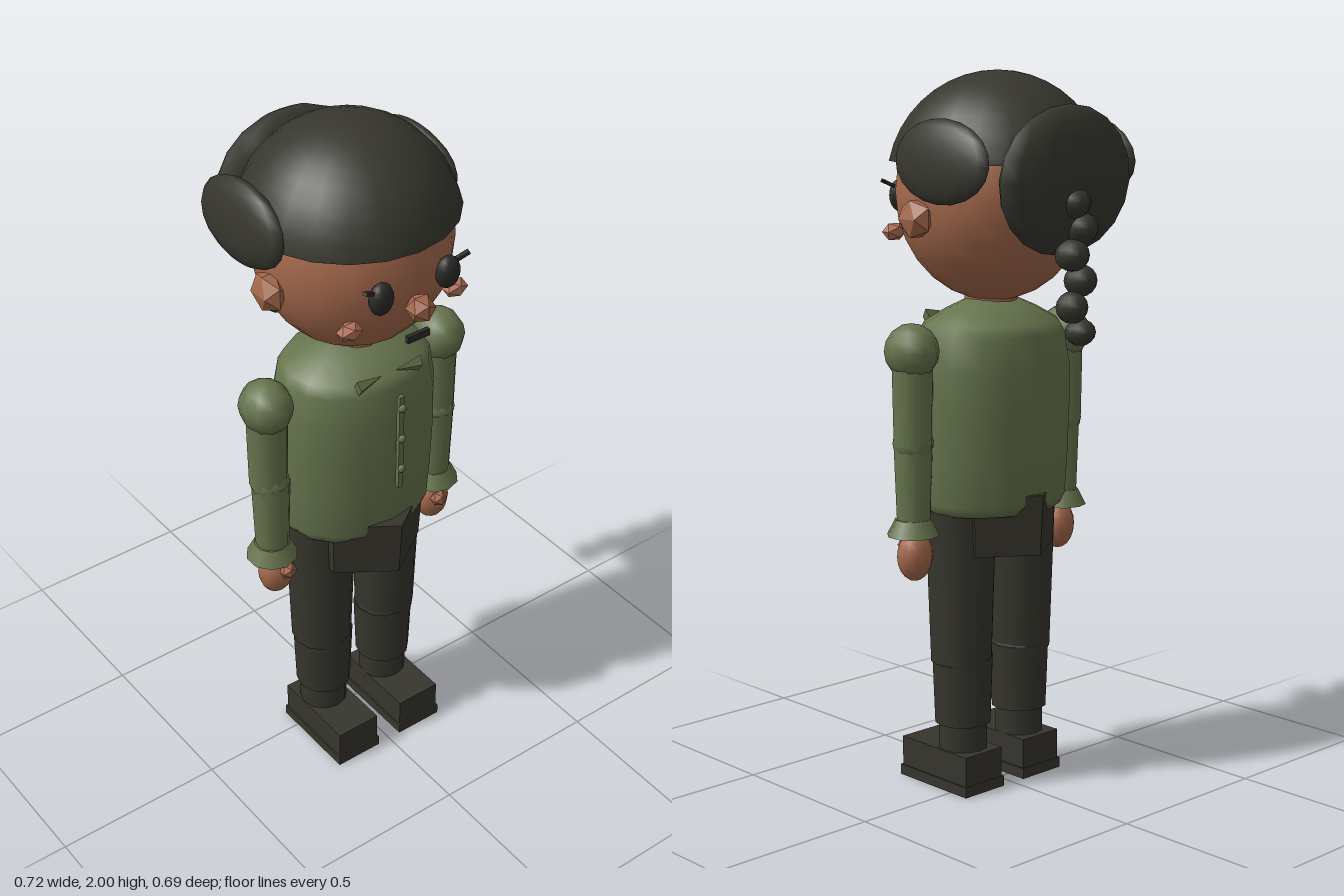
import * as THREE from 'three';

const mat = (name, color, extra = {}) => {
  const m = new THREE.MeshStandardMaterial({ color, ...extra });
  m.name = name;
  return m;
};

export function createModel() {
  const root = new THREE.Group();
  root.name = 'standingFigure';
  const skin = mat('skin', 0xa5694c);
  const blush = mat('blush', 0xb5745a);
  const hair = mat('darkHair', 0x37372f);
  const shirt = mat('olive', 0x66744d);
  const trousers = mat('charcoal', 0x36352d);
  const ink = mat('black', 0x2a2a27);

  const add = (name, geo, m, x, y, z, rx = 0, ry = 0, rz = 0) => {
    const mesh = new THREE.Mesh(geo, m);
    mesh.name = name;
    mesh.position.set(x, y, z);
    mesh.rotation.set(rx, ry, rz);
    root.add(mesh);
    return mesh;
  };
  const ball = (rx, ry, rz, w = 16, h = 12) => new THREE.SphereGeometry(1, w, h).scale(rx, ry, rz);
  const tube = (rTop, rBottom, h, n = 12) => new THREE.CylinderGeometry(rTop, rBottom, h, n);
  const box = (w, h, d) => new THREE.BoxGeometry(w, h, d);
  const gem = (rx, ry, rz) => new THREE.IcosahedronGeometry(1, 0).scale(rx, ry, rz);

  // Head, neck and face
  add('head', ball(0.268, 0.3, 0.268, 20, 14), skin, 0, 1.675, 0.02);
  add('neck', tube(0.075, 0.075, 0.1), skin, 0, 1.38, 0.03);
  add('nose', gem(0.04, 0.04, 0.04), skin, 0, 1.6, 0.308);
  add('mouth', box(0.07, 0.02, 0.012), ink, 0, 1.512, 0.299);

  // Hair cap with a closed underside
  const capAngle = Math.acos(0.2);
  add('hairCap', new THREE.SphereGeometry(0.302, 20, 9, 0, Math.PI * 2, 0, capAngle), hair, 0, 1.698, 0.003);
  add('hairCapUnderside', new THREE.CircleGeometry(0.295, 20), hair, 0, 1.759, 0.003, Math.PI / 2);
  add('backHair', ball(0.24, 0.2, 0.074, 12, 10), hair, 0, 1.715, -0.255, -0.08);

  // Braid of alternating beads
  for (let i = 0; i < 6; i++) {
    const r = 0.05 - i * 0.0015;
    add('braidBead', ball(r, i === 5 ? 0.036 : 0.043, r, 10, 8), hair,
      i % 2 ? -0.016 : 0.016, 1.66 - i * 0.069, -0.297);
  }

  // Torso: stretched lathe closed at the hem
  const torsoProfile = [
    [0, 0.805], [0.213, 0.8], [0.228, 0.83], [0.236, 0.95], [0.241, 1.08],
    [0.24, 1.2], [0.224, 1.29], [0.205, 1.32], [0.14, 1.355], [0.07, 1.385], [0, 1.385],
  ].map(([x, y]) => new THREE.Vector2(x, y));
  add('shirt', new THREE.LatheGeometry(torsoProfile, 16).scale(1, 1, 0.8), shirt, 0, 0, 0.028);

  // Button strip
  add('buttonStrip', box(0.016, 0.3, 0.012), shirt, 0, 1.135, 0.236);
  for (const y of [1.25, 1.15, 1.05]) add('button', ball(0.012, 0.012, 0.009, 8, 6), shirt, 0, y, 0.245);

  // Six-sided hips, one corner facing forward
  const hips = new THREE.CylinderGeometry(0.215, 0.205, 0.17, 6).toNonIndexed();
  hips.computeVertexNormals();
  add('hips', hips.scale(0.845, 1, 1), trousers, 0, 0.77, 0.038);

  for (const s of [-1, 1]) {
    // Face details
    add('ear', gem(0.04, 0.058, 0.06), skin, s * 0.272, 1.612, 0.033);
    add('cheek', gem(0.038, 0.027, 0.027), blush, s * 0.17, 1.56, 0.238);
    add('eye', ball(0.036, 0.046, 0.026, 12, 10), ink, s * 0.106, 1.655, 0.283);
    add('eyelash', box(0.045, 0.009, 0.014), ink, s * 0.146, 1.688, 0.287, 0, s * -0.3, s * 0.45);

    // Side hair
    add('sideHair', ball(0.042, 0.112, 0.181, 12, 10), hair, s * 0.274, 1.766, -0.072, -0.06, 0, s * 0.1);

    // Collar point
    const collar = new THREE.ConeGeometry(0.024, 0.08, 4).toNonIndexed();
    collar.computeVertexNormals();
    add('collarPoint', collar.scale(1, 1, 0.6), shirt, s * 0.062, 1.326, 0.184, 0, 0, s * (Math.PI / 2 - 0.12));

    // Arm
    add('shoulder', ball(0.072, 0.076, 0.08, 10, 8), shirt, s * 0.29, 1.26, 0.032);
    add('upperArm', tube(0.057, 0.053, 0.25), shirt, s * 0.288, 1.13, 0.032);
    add('elbow', ball(0.056, 0.056, 0.056, 10, 8), shirt, s * 0.286, 1.01, 0.034);
    add('forearm', tube(0.054, 0.046, 0.23), shirt, s * 0.284, 0.895, 0.036);
    add('cuff', tube(0.05, 0.073, 0.045, 10), shirt, s * 0.286, 0.778, 0.036);
    add('hand', ball(0.052, 0.07, 0.046, 12, 10), skin, s * 0.277, 0.695, 0.04);
    add('thumb', gem(0.026, 0.026, 0.024), skin, s * 0.268, 0.718, 0.085);

    // Leg
    add('thigh', tube(0.102, 0.087, 0.45), trousers, s * 0.115, 0.595, 0.03);
    add('knee', ball(0.088, 0.06, 0.088, 12, 8), trousers, s * 0.112, 0.375, 0.03);
    add('shin', tube(0.087, 0.08, 0.19), trousers, s * 0.11, 0.285, 0.03);
    add('ankle', tube(0.07, 0.07, 0.12), trousers, s * 0.11, 0.15, 0.03);
    add('shoe', box(0.138, 0.09, 0.265), trousers, s * 0.112, 0.07, 0.075);
    add('sole', box(0.147, 0.03, 0.275), trousers, s * 0.112, 0.015, 0.075);
  }
  return root;
}
